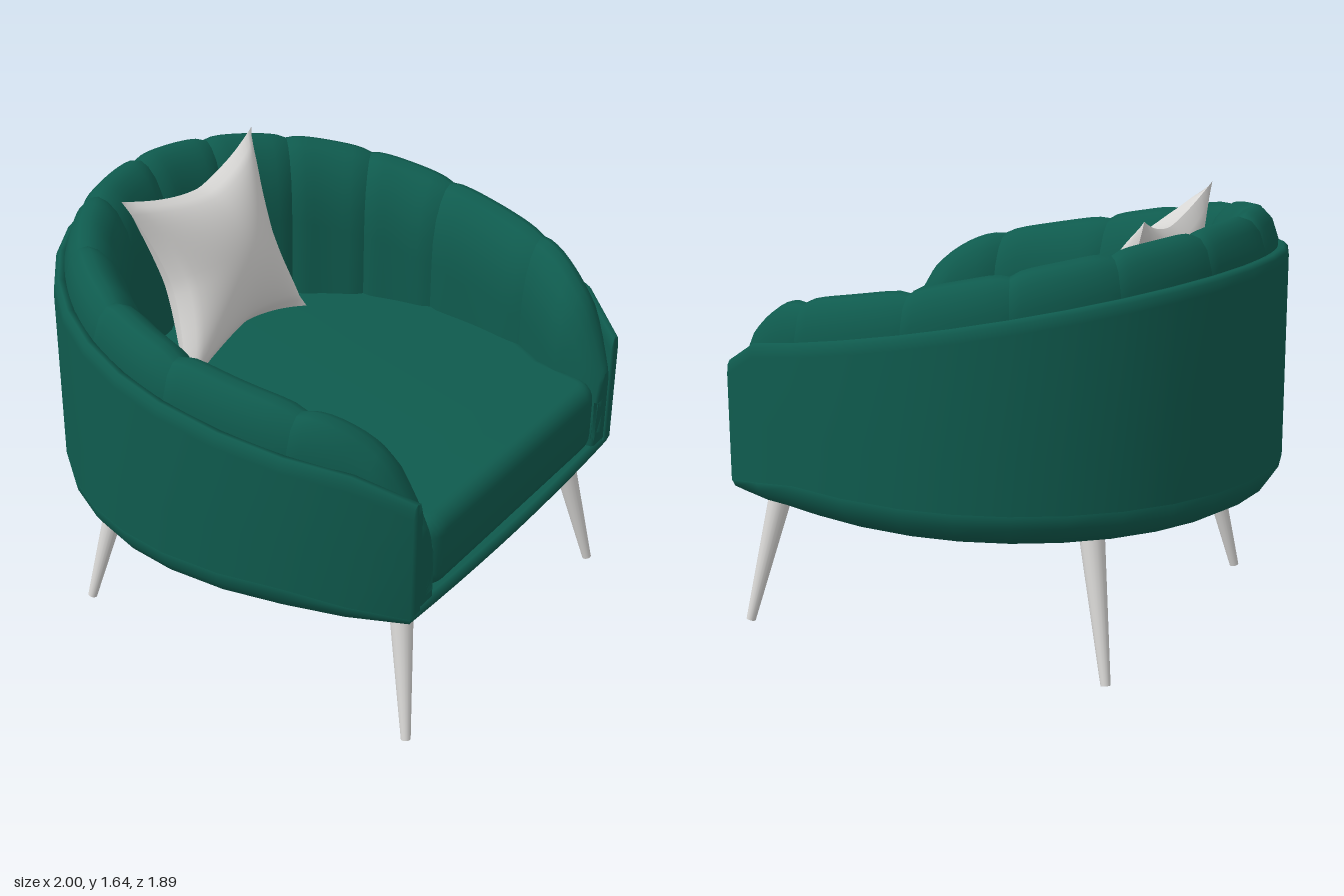
import * as THREE from 'three';
import { toCreasedNormals } from 'three/addons/utils/BufferGeometryUtils.js';

const END = 133.2; // angle of the arm fronts, measured from the middle of the back
const ARM_X = 0.57; // inner face of the arm fronts
const PAD = 0.28; // thickness of the padding
const { lerp, smoothstep, degToRad } = THREE.MathUtils;

// Smooth surface through rows of [x, y, z] points
function surface(rows) {
  const n = rows[0].length, index = [];
  for (let i = 0; i < rows.length - 1; i++) {
    for (let j = 0; j < n - 1; j++) {
      const a = i * n + j, b = a + n;
      index.push(a, a + 1, b, b, a + 1, b + 1);
    }
  }
  const g = new THREE.BufferGeometry();
  g.setAttribute('position', new THREE.Float32BufferAttribute(rows.flat(2), 3));
  g.setIndex(index);
  g.computeVertexNormals();
  return g;
}

// Plan outline: round at the back, longer and narrowing towards the front
function outline(deg) {
  const t = degToRad(deg), front = Math.abs(deg) > 90;
  const x = Math.sin(t), z = 0.08 - (front ? 1.226 : 1.03) * Math.cos(t);
  const inward = front ? [-Math.sign(deg), 0] : [-Math.sin(t), Math.cos(t)];
  return { x, z, inward };
}

function place(o, d, y) {
  return [o.x + o.inward[0] * d, y, o.z + o.inward[1] * d];
}

// Height of the shell's sloping top edge
const edgeHeight = (z) => 1.12 + (0.83 - z) * 0.185 - Math.max(0, z - 0.8) * 0.6;
const frontness = (deg) => smoothstep(Math.abs(deg), 112, END);

function shellWall() {
  const rows = [];
  const n = 24;
  for (let i = 0; i <= n; i++) {
    const deg = lerp(-END, END, i / n), o = outline(deg), e = edgeHeight(o.z);
    const low = lerp(0.66, 0.575, frontness(deg));
    const section = [[0, low], [0, 0.85], [0, e - 0.05], [0.005, e - 0.015], [0.02, e],
      [0.045, e - 0.005], [0.058, e - 0.05], [0.06, low]];
    const row = section.map(([d, y]) => place(o, d, y));
    const cap = section.map(([, y]) => place(o, 0.03, y));
    if (i === 0) rows.push(cap);
    rows.push(row);
    if (i === n) rows.push(cap);
  }
  return surface(rows);
}

function shellBase() {
  // scale of the outline, height at the sides and back, height at the front
  const rings = [[0, 0.463, 0.463], [0.3, 0.467, 0.467], [0.6, 0.478, 0.478], [0.8, 0.503, 0.495],
    [0.9, 0.53, 0.512], [0.96, 0.565, 0.53], [0.99, 0.61, 0.55], [1, 0.66, 0.575],
    [0.98, 0.675, 0.597], [0.9, 0.675, 0.6]];
  const loop = [];
  for (let i = 0; i <= 24; i++) {
    const deg = lerp(-END, END, i / 24), o = outline(deg);
    loop.push([o.x, o.z, frontness(deg)]);
  }
  const corner = outline(END);
  for (let i = 1; i <= 10; i++) {
    const k = 1 - i / 5;
    loop.push([corner.x * k, lerp(0.94, corner.z, k * k), 1]);
  }
  return surface(loop.map(([x, z, w]) => rings.map(([s, ya, yf]) =>
    [x * s, lerp(ya, yf, w), 0.08 + (z - 0.08) * s])));
}

// One cross-section of the padding; pinch sinks it at a seam, close rounds off the arm front
function padSection(deg, pinch, close) {
  const o = outline(deg), front = Math.abs(deg) > 90;
  const k = front ? Math.min(1, (Math.abs(o.x) - ARM_X) / PAD) : 1;
  const rise = 0.14 - 0.14 * Math.min(1.65, Math.pow(Math.max(0, o.z - 0.5) / 0.33, 2.5));
  const top = edgeHeight(o.z) + rise, low = 0.595;
  const section = [[0.06, low], [0.05, top - 0.2], [0.045, top - 0.12], [0.07, top - 0.045],
    [0.105, top - 0.008], [0.14, top], [0.18, top - 0.018], [0.22, top - 0.06],
    [0.255, top - 0.13], [0.275, top - 0.22], [PAD, top - 0.32], [PAD, 0.8], [PAD, low]];
  return section.map(([d, y]) => {
    const h = (y - low) / (top - low);
    const dd = d > 0.06 ? d - pinch * (d - 0.06) / (PAD - 0.06) : d;
    const mid = 0.16;
    return place(o, (mid + (dd - mid) * (1 - close)) * k,
      y - h * h * (pinch * 0.8 + Math.min(close, 0.35) * 0.12));
  });
}

function padPanel(i) {
  const step = END / 6, rows = [];
  const isFront = i === 0 || i === 11;
  const side = i === 0 ? -1 : 1;
  const n = 10;
  for (let j = 0; j <= n; j++) {
    const u = j / n;
    if (isFront) {
      const pinch = 0.02 * Math.pow(1 - u, 10);
      rows.push(padSection(side * lerp(END - step, END - 3.5, u), pinch, 0));
    } else {
      const pinch = 0.02 * Math.pow(Math.abs(2 * u - 1), 6);
      rows.push(padSection(-END + step * (i + u), pinch, 0));
    }
  }
  if (isFront) {
    for (const [back, close] of [[1.8, 0.06], [0.6, 0.16], [0, 0.32], [0, 1]]) {
      rows.push(padSection(side * (END - back), 0, close));
    }
    if (side < 0) rows.reverse();
  }
  return surface(rows);
}

function seatCushion() {
  const s = new THREE.Shape();
  s.moveTo(-0.5, 0.925);
  s.lineTo(0.5, 0.925);
  s.quadraticCurveTo(0.6, 0.925, 0.61, 0.82);
  s.lineTo(0.64, 0.66);
  s.quadraticCurveTo(0.82, 0.4, 0.82, 0.08);
  s.absellipse(0, 0.08, 0.82, 0.85, 0, Math.PI, true);
  s.quadraticCurveTo(-0.82, 0.4, -0.64, 0.66);
  s.lineTo(-0.61, 0.82);
  s.quadraticCurveTo(-0.6, 0.925, -0.5, 0.925);
  const g = new THREE.ExtrudeGeometry(s, { depth: 0.15, bevelThickness: 0.07, bevelSize: 0.06,
    bevelOffset: -0.06, bevelSegments: 6, curveSegments: 16 });
  g.rotateX(Math.PI / 2);
  g.translate(0, 0.815, 0);
  return toCreasedNormals(g, 0.7);
}

// Square pillow face with drawn-in sides and pointed corners
function pillowFace(sign) {
  const n = 24, rows = [];
  const pull = (v) => 1 - 0.27 * (1 - Math.pow(Math.abs(v), 1.6));
  for (let i = 0; i <= n; i++) {
    const row = [];
    for (let j = 0; j <= n; j++) {
      const u = sign * (1 - 2 * i / n), v = 2 * j / n - 1;
      const puff = Math.pow((1 - u * u) * (1 - v * v), 0.55);
      row.push([0.44 * u * pull(v), 0.385 * v * pull(u), sign * 0.15 * puff]);
    }
    rows.push(row);
  }
  return surface(rows);
}

export function createModel() {
  const green = new THREE.MeshStandardMaterial({ color: 0x0f5b4e, side: THREE.DoubleSide });
  green.name = 'green velvet';
  const pale = new THREE.MeshStandardMaterial({ color: 0xd9d8d6, side: THREE.DoubleSide });
  pale.name = 'pale grey';

  const model = new THREE.Group();
  model.name = 'tubArmchair';
  const add = (parent, name, geometry, material) => {
    const mesh = new THREE.Mesh(geometry, material);
    mesh.name = name;
    parent.add(mesh);
    return mesh;
  };

  // Outer shell and underside
  add(model, 'shellWall', shellWall(), green);
  add(model, 'shellBase', shellBase(), green);

  // Channelled padding around the back and arms
  const padding = new THREE.Group();
  padding.name = 'padding';
  for (let i = 0; i < 12; i++) add(padding, `padPanel${i + 1}`, padPanel(i), green);
  model.add(padding);

  add(model, 'seatCushion', seatCushion(), green);

  // Splayed tapered legs
  const up = new THREE.Vector3(0, 1, 0);
  for (const side of [-1, 1]) {
    for (const [name, zTop, zFoot] of [['frontLeg', 0.79, 0.89], ['backLeg', -0.49, -0.59]]) {
      const foot = new THREE.Vector3(side * 0.685, 0.003, zFoot);
      const axis = new THREE.Vector3(side * 0.585, 0.518, zTop).sub(foot);
      const leg = add(model, name, new THREE.CylinderGeometry(0.046, 0.018, axis.length(), 16), pale);
      leg.position.copy(foot).addScaledVector(axis, 0.5);
      leg.quaternion.setFromUnitVectors(up, axis.normalize());
    }
  }

  // Pillow leaning on the back
  const pillow = new THREE.Group();
  pillow.name = 'pillow';
  add(pillow, 'pillowFront', pillowFace(1), pale);
  add(pillow, 'pillowBack', pillowFace(-1), pale);
  pillow.position.set(0.005, 1.262, -0.445);
  pillow.rotation.set(-0.35, 0.09, -0.025, 'YXZ');
  model.add(pillow);

  return model;
}
